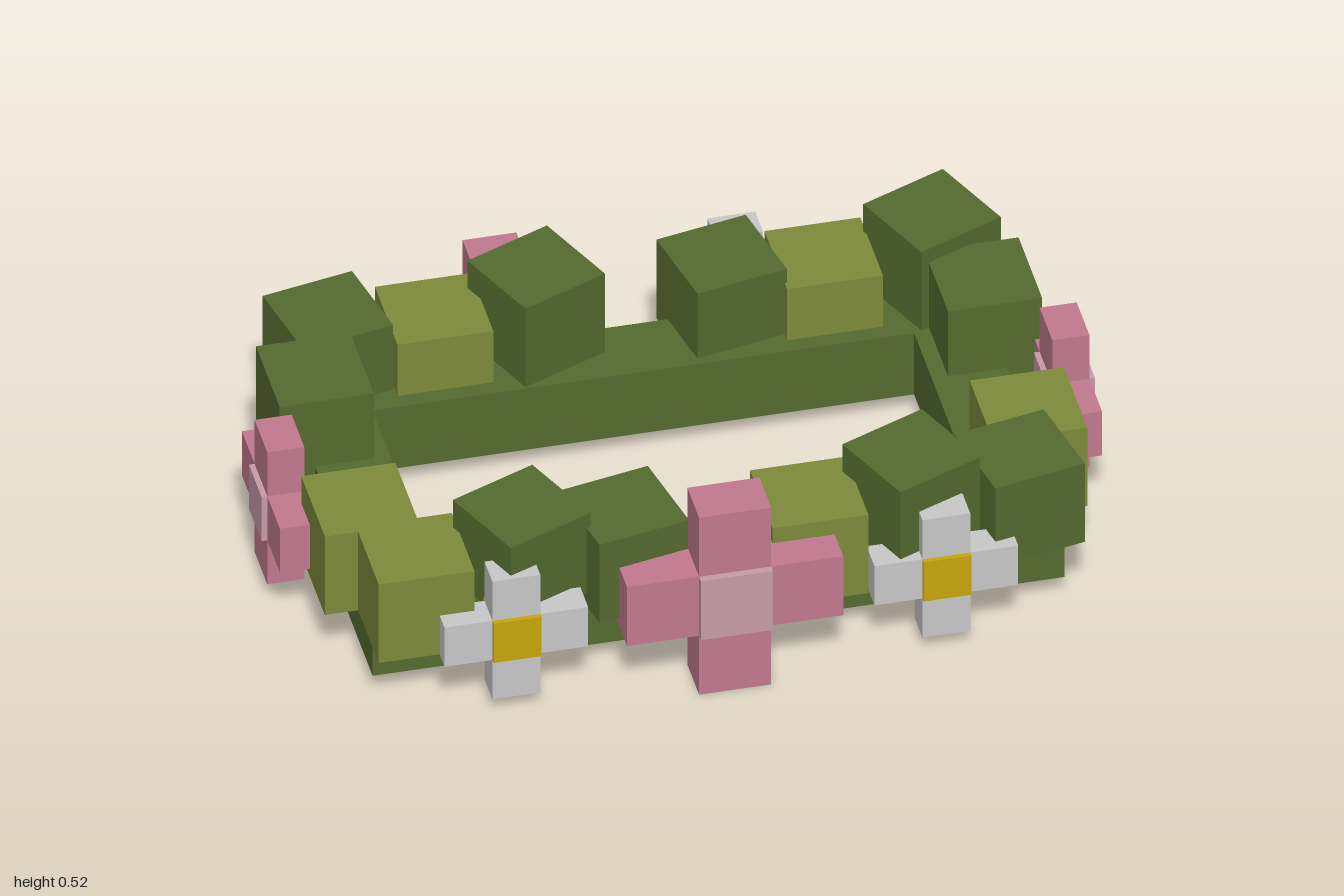
import * as THREE from 'three';

const mat = (name, color) => {
  const m = new THREE.MeshStandardMaterial({ color });
  m.name = name;
  return m;
};

export function createModel() {
  const root = new THREE.Group();
  root.name = 'flowerWreath';

  const darkLeaf = mat('dark leaf green', 0x556b2f);
  const lightLeaf = mat('light leaf green', 0x7d8b3a);
  const pink = mat('pink', 0xc27a90);
  const palePink = mat('pale pink', 0xc99ba9);
  const white = mat('petal white', 0xc9c9c9);
  const gold = mat('gold', 0xc9a80c);

  const box = (parent, name, size, pos, material, turn = 0) => {
    const mesh = new THREE.Mesh(new THREE.BoxGeometry(...size), material);
    mesh.name = name;
    mesh.position.set(...pos);
    mesh.rotation.y = turn;
    parent.add(mesh);
  };

  // Rectangular ring that carries everything
  const outline = (pts, S) => new S(pts.map(p => new THREE.Vector2(...p)));
  const rect = (w, d) => [[-w, -d], [w, -d], [w, d], [-w, d]];
  const shape = outline(rect(0.83, 0.475), THREE.Shape);
  shape.holes.push(outline(rect(0.65, 0.291), THREE.Path));
  const ringGeo = new THREE.ExtrudeGeometry(shape, { depth: 0.18, bevelEnabled: false });
  ringGeo.rotateX(-Math.PI / 2);
  const ring = new THREE.Mesh(ringGeo, darkLeaf);
  ring.name = 'baseRing';
  ring.position.set(0, 0.06, -0.013);
  root.add(ring);

  // Leaf blocks: kind 0 is light and straight, kinds 1 and 2 are dark, higher and more turned
  const leaves = new THREE.Group();
  leaves.name = 'leafBlocks';
  root.add(leaves);
  const leafRow = (z, kinds) => kinds.forEach((kind, i) => {
    const x = [-0.72, -0.465, -0.22, 0.225, 0.47, 0.73][i];
    box(leaves, 'leafBlock', [0.23, 0.23, 0.23], [x, 0.275 + kind * 0.04, z],
      kind ? darkLeaf : lightLeaf, kind * 0.2);
  });
  leafRow(0.43, [0, 2, 1, 0, 2, 1]);
  leafRow(-0.46, [1, 0, 2, 1, 0, 2]);
  for (const side of [-1, 1]) {
    box(leaves, 'sideLeafBlock', [0.226, 0.23, 0.24], [side * 0.802, 0.275, 0.216], lightLeaf);
    box(leaves, 'sideLeafBlock', [0.226, 0.23, 0.24], [side * 0.802, 0.315, -0.244], darkLeaf);
  }

  // Flowers: a raised centre with four square petals, u is the petal width
  const flower = (name, u, pos, turn, petalMat, centreMat) => {
    const g = new THREE.Group();
    g.name = name;
    box(g, 'flowerCentre', [u, u, u * 0.9], [0, 0, 0], centreMat);
    for (const [x, y] of [[1, 0], [-1, 0], [0, 1], [0, -1]]) {
      box(g, 'petal', [u, u, u * 0.69], [x * u, y * u, 0], petalMat);
    }
    g.position.set(...pos);
    g.rotation.y = turn;
    root.add(g);
  };
  flower('frontPinkFlower', 0.173, [0, 0.26, 0.572], 0, pink, palePink);
  flower('backPinkFlower', 0.129, [-0.29, 0.247, -0.594], Math.PI, pink, palePink);
  flower('backWhiteFlower', 0.115, [0.285, 0.247, -0.576], Math.PI, white, gold);
  for (const side of [-1, 1]) {
    flower('frontWhiteFlower', 0.115, [side * 0.516, 0.216, 0.553], 0, white, gold);
    flower('sidePinkFlower', 0.129, [side * 0.942, 0.247, -0.011], side * Math.PI / 2, pink, palePink);
  }

  return root;
}
